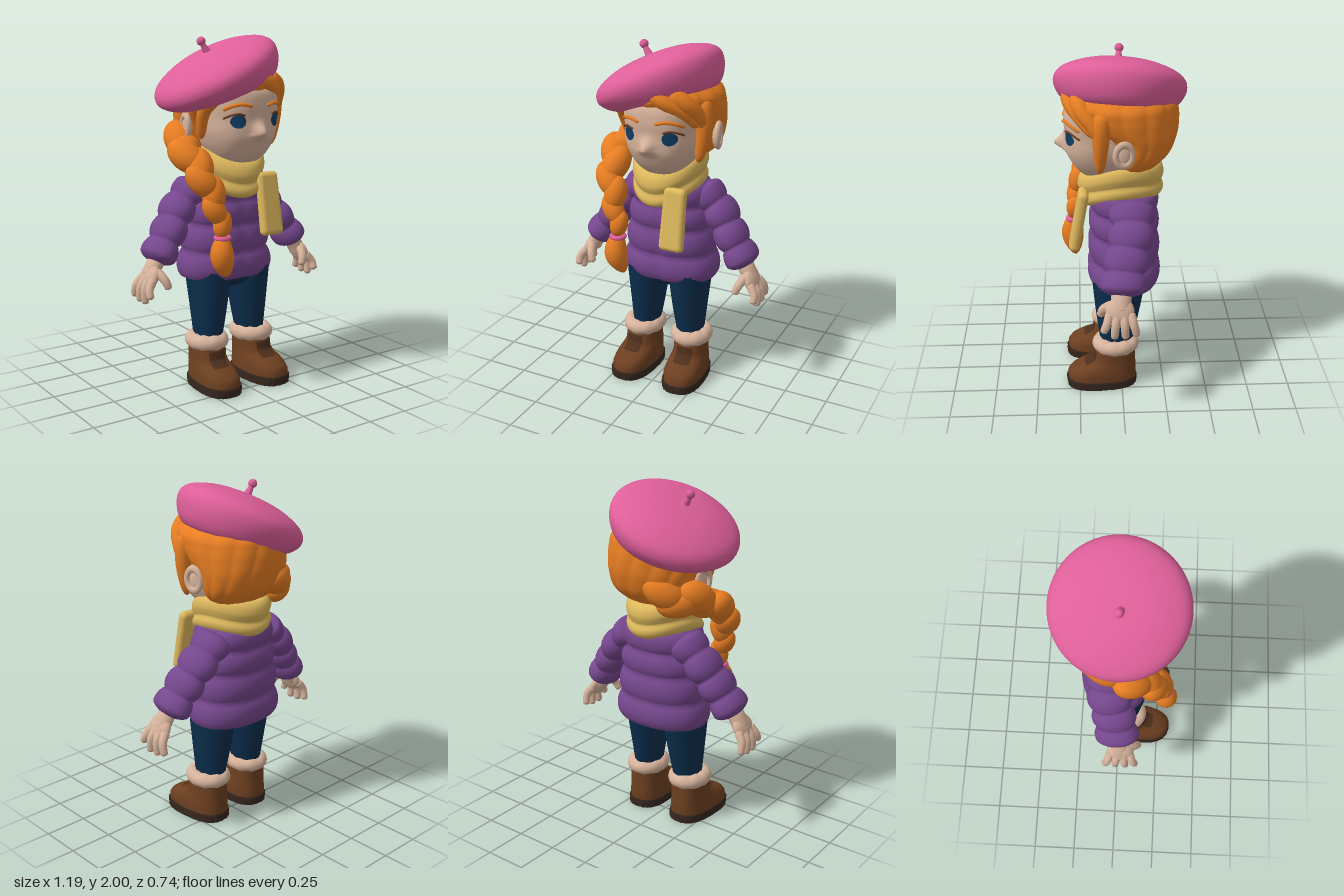
import * as THREE from 'three';
import { mergeVertices } from 'three/addons/utils/BufferGeometryUtils.js';
import { RoundedBoxGeometry } from 'three/addons/geometries/RoundedBoxGeometry.js';

const mat = (name, color) => Object.assign(new THREE.MeshStandardMaterial({ color }), { name });
const V = (p) => new THREE.Vector3(...p);

// Smooth normals without a seam
function smooth(geo) {
  geo.deleteAttribute('uv');
  geo.deleteAttribute('normal');
  const g = mergeVertices(geo, 1e-5);
  g.computeVertexNormals();
  return g;
}

// Move every vertex by a rule on its position
function bend(geo, rule) {
  const p = geo.attributes.position, v = new THREE.Vector3();
  for (let i = 0; i < p.count; i++) {
    rule(v.fromBufferAttribute(p, i));
    p.setXYZ(i, v.x, v.y, v.z);
  }
  geo.computeVertexNormals();
  return geo;
}

// Sections are [y, zBack, zFront, halfWidth], bottom to top; dense() adds curved in-betweens
function dense(raw, count) {
  const c = [1, 2, 3].map((k) => new THREE.SplineCurve(raw.map((s) => new THREE.Vector2(s[0], s[k]))).getPoints(count));
  return c[0].map((p, i) => [p.x, p.y, c[1][i].y, c[2][i].y]);
}

// Closed body from horizontal sections
function loft(sections, n = 2.3, bump = () => 1, segs = 72) {
  const pos = [], index = [];
  const first = sections[0], last = sections[sections.length - 1];
  const tip = (s) => [s[0], (s[1] + s[2]) / 2, (s[1] + s[2]) / 2, 0];
  const rings = [tip(first), first, ...sections, last, tip(last)];
  const pw = (v) => Math.sign(v) * Math.abs(v) ** (2 / n);
  rings.forEach(([y, z0, z1, hw], i) => {
    for (let j = 0; j < segs; j++) {
      const a = (j / segs) * Math.PI * 2, b = bump(a, y);
      pos.push(hw * pw(Math.cos(a)) * b, y, (z0 + z1) / 2 + ((z1 - z0) / 2) * pw(Math.sin(a)) * b);
      if (i === rings.length - 1) continue;
      const p = i * segs + j, q = i * segs + ((j + 1) % segs);
      index.push(p, p + segs, q, p + segs, q + segs, q);
    }
  });
  const g = new THREE.BufferGeometry();
  g.setAttribute('position', new THREE.Float32BufferAttribute(pos, 3));
  g.setIndex(index);
  g.computeVertexNormals();
  return g;
}

// Front depth of a loft at x, y
function frontZ(sections, n, x, y) {
  const i = sections.findIndex((s) => s[0] > y), a = sections[i - 1], b = sections[i];
  const [, z0, z1, hw] = a.map((v, k) => v + ((b[k] - v) * (y - a[0])) / (b[0] - a[0]));
  return (z0 + z1) / 2 + ((z1 - z0) / 2) * (1 - Math.min(1, Math.abs(x / hw)) ** n) ** (1 / n);
}

// Round-ended tube with varying radius r(t); sz stretches it in z
function limb(pts, r, { sz = 1, cap = 0.15, steps = 24, sides = 14 } = {}) {
  const curve = new THREE.CatmullRomCurve3(pts.map(V));
  const g = new THREE.TubeGeometry(curve, steps, 1, sides);
  const p = g.attributes.position, v = new THREE.Vector3();
  for (let i = 0; i < p.count; i++) {
    const t = Math.floor(i / (sides + 1)) / steps, c = curve.getPointAt(t);
    const e = Math.max(0, (Math.abs(2 * t - 1) - 1 + cap) / cap);
    const k = r(t) * Math.sqrt(Math.max(0.0004, 1 - e * e));
    v.fromBufferAttribute(p, i).sub(c).multiplyScalar(k);
    p.setXYZ(i, c.x + v.x, c.y + v.y, c.z + v.z * sz);
  }
  return smooth(g);
}

const HEAD = dense([
  [1.27, -0.08, 0.12, 0.06], [1.31, -0.1, 0.205, 0.11], [1.35, -0.12, 0.25, 0.15], [1.4, -0.15, 0.283, 0.18],
  [1.45, -0.18, 0.304, 0.2], [1.5, -0.2, 0.31, 0.212], [1.56, -0.22, 0.31, 0.216], [1.64, -0.22, 0.315, 0.22],
  [1.72, -0.2, 0.295, 0.21], [1.8, -0.12, 0.2, 0.15]], 60);
const BOOT = [
  [0.04, -0.083, 0.32, 0.113], [0.08, -0.085, 0.32, 0.113], [0.105, -0.085, 0.3, 0.109], [0.13, -0.083, 0.255, 0.104],
  [0.15, -0.082, 0.195, 0.099], [0.175, -0.08, 0.165, 0.096], [0.26, -0.08, 0.15, 0.095]];
const faceZ = (x, y) => frontZ(HEAD, 2.5, x, y);

export function createModel() {
  const skin = mat('skin and fleece', 0xd6b29b), hair = mat('orange hair', 0xe67d22);
  const pink = mat('pink felt', 0xde5f99), coat = mat('purple quilt', 0x75478d);
  const denim = mat('navy denim', 0x0b2d4b), wool = mat('yellow wool', 0xdcb75c);
  const leather = mat('brown leather', 0x6c3f20), rubber = mat('dark sole', 0x35261d);
  const iris = mat('blue eye', 0x0f3d64), tongue = mat('dark leather', 0x4d2f1c);

  const model = new THREE.Group();
  model.name = 'girl';
  const add = (name, geo, m, pos = [0, 0, 0], parent = model) => {
    const mesh = new THREE.Mesh(geo, m);
    mesh.name = name;
    mesh.position.set(...pos);
    parent.add(mesh);
    return mesh;
  };
  const group = (name, x = 0) => {
    const g = new THREE.Group();
    g.name = name;
    g.position.x = x;
    model.add(g);
    return g;
  };
  const ball = (name, m, pos, scale, parent) => {
    const b = add(name, new THREE.SphereGeometry(1, 24, 16), m, pos, parent);
    b.scale.set(...scale);
    return b;
  };

  // Quilted jacket: four padded rolls with a front closure groove
  const seams = [0.64, 0.79, 0.95, 1.09, 1.22], body = [];
  for (let i = 0; i < 4; i++) for (let k = 0; k < 8; k++) {
    const y = seams[i] + ((seams[i + 1] - seams[i]) * k) / 8, f = (y - 0.64) / 0.58;
    const b = 0.024 * Math.sin((Math.PI * k) / 8) ** 0.7;
    body.push([y, -0.21 + 0.02 * f - b, 0.174 - 0.02 * f + b, 0.272 - 0.07 * f + b]);
  }
  body.push([1.22, -0.17, 0.13, 0.185], [1.25, -0.13, 0.1, 0.13]);
  add('jacket', loft(body, 2.3, (a) => 1 - 0.05 * Math.exp(-(((a - Math.PI / 2) / 0.08) ** 2))), coat);
  ball('hips', denim, [0, 0.66, 0.01], [0.22, 0.1, 0.15]);

  for (const s of [1, -1]) {
    const side = s > 0 ? 'left' : 'right';
    const at = (pts) => pts.map(([x, y, z]) => [s * x, y, z]);

    // Padded sleeve, swinging forward towards the wrist
    add(side + 'Sleeve', limb(at([[0.16, 1.18, -0.055], [0.285, 1.055, -0.05], [0.385, 0.91, -0.015], [0.485, 0.76, 0.01]]),
      (t) => 0.074 + 0.02 * Math.abs(Math.sin(Math.PI * 4 * t)) ** 0.7, { sz: 1.38, cap: 0.18, steps: 60, sides: 24 }), coat);

    // Hand with four fingers and a thumb
    const hand = group(side + 'Hand');
    add('wrist', limb(at([[0.455, 0.8, 0.01], [0.49, 0.75, 0.015], [0.52, 0.69, 0.02]]), () => 0.045, { sz: 1.25 }), skin, undefined, hand);
    ball('palm', skin, [s * 0.525, 0.695, 0.024], [0.036, 0.078, 0.08], hand).rotation.z = s * 0.4;
    for (let f = 0; f < 4; f++) {
      const z = 0.078 - f * 0.037, tip = 0.118 - f * 0.062, y = [0.588, 0.548, 0.548, 0.565][f];
      add('finger', limb(at([[0.53, 0.69, z], [0.568, 0.635, (z + tip) / 2], [0.57, y, tip]]),
        (t) => 0.026 - 0.005 * t, { cap: 0.25, sides: 10 }), skin, undefined, hand);
    }
    add('thumb', limb(at([[0.505, 0.73, 0.06], [0.48, 0.685, 0.115], [0.46, 0.632, 0.13]]),
      (t) => 0.028 - 0.007 * t, { cap: 0.25, sides: 10 }), skin, undefined, hand);

    // Trouser leg
    add(side + 'Leg', limb(at([[0.135, 0.72, 0.012], [0.137, 0.5, 0.022], [0.147, 0.24, 0.03]]),
      (t) => 0.128 - 0.047 * Math.min(1, t * 1.15) ** 1.2, { sz: 1.24, cap: 0.08, sides: 24 }), denim);

    // Boot: upper, tongue panel, sole and fleece cuff
    const boot = group(side + 'Boot', s * 0.154);
    boot.rotation.y = s * 0.07;
    add('bootUpper', loft(BOOT, 2.5), leather, undefined, boot);
    add('bootTongue', bend(new THREE.PlaneGeometry(0.1, 0.08, 10, 12).translate(0, 0.182, 0),
      (v) => { v.z = frontZ(BOOT, 2.5, v.x, v.y) + 0.004; }), tongue, undefined, boot);
    add('sole', loft([[0, -0.088, 0.325, 0.118], [0.042, -0.09, 0.33, 0.12], [0.05, -0.086, 0.325, 0.116]], 2.6,
      (a) => 1 + 0.008 * Math.sin(a * 24), 96), rubber, undefined, boot);
    add('fleeceCuff', smooth(bend(new THREE.TorusGeometry(0.082, 0.042, 14, 40).rotateX(Math.PI / 2).scale(1, 1.05, 1.12),
      (v) => { v.y *= 1 + 0.07 * Math.sin(Math.atan2(v.z, v.x) * 9); })), skin, [0, 0.265, 0.035], boot);
  }

  // Wrapped scarf, raised over the shoulders and nape, with one hanging end
  const roll = [[0.13, 1.16], [0.19, 1.15], [0.222, 1.17], [0.228, 1.2], [0.216, 1.232], [0.222, 1.25],
    [0.23, 1.28], [0.222, 1.32], [0.2, 1.348], [0.17, 1.355], [0.14, 1.33]].map((p) => new THREE.Vector2(...p));
  add('scarfWrap', smooth(bend(new THREE.LatheGeometry(new THREE.SplineCurve(roll).getPoints(40), 56), (v) => {
    v.y += 0.04 * (v.x / 0.22) ** 2 - v.z * 0.16 + 0.01 * Math.sin(Math.atan2(v.z, v.x) * 2 + 1);
    v.x *= 0.91;
    v.z *= 1.06;
  })), wool);
  add('scarfEnd', bend(new RoundedBoxGeometry(0.148, 0.36, 0.06, 6, 0.028),
    (v) => { v.x *= 0.94 - 0.3 * v.y; }), wool, [0.133, 1.07, 0.24]).rotation.x = -0.18;

  // Head: face with a modelled nose, eyes, brows and ears
  const head = group('head', 0.012);
  add('face', bend(loft(HEAD, 2.5, () => 1, 144), (v) => {
    const dy = v.y - 1.487, wide = 0.034 + 0.012 * Math.max(0, -dy / 0.03);
    if (v.z > 0) v.z += 0.06 * Math.exp(-((v.x / wide) ** 2) - (dy / (dy > 0 ? 0.045 : 0.03)) ** 2);
  }), skin, undefined, head);
  for (const s of [1, -1]) {
    const side = s > 0 ? 'left' : 'right';
    add(side + 'Eye', bend(new THREE.RingGeometry(0.0005, 0.037, 28, 5).translate(s * 0.12, 1.55, 0),
      (v) => { v.z = faceZ(v.x, v.y) + 0.004; }), iris, undefined, head);
    const onFace = (pts) => pts.map(([x, y]) => [s * x, y, faceZ(x, y) + 0.003]);
    add(side + 'Brow', limb(onFace([[0.045, 1.63], [0.1, 1.643], [0.15, 1.634], [0.185, 1.61]]), () => 0.01, { sides: 8 }), hair, undefined, head);
    add(side + 'Lashes', limb(onFace([[0.085, 1.582], [0.12, 1.592], [0.16, 1.58], [0.182, 1.562]]), () => 0.006, { sides: 8 }), leather, undefined, head);
    ball(side + 'Ear', skin, [s * 0.265, 1.505, -0.005], [0.02, 0.065, 0.042], head);
    const rim = add(side + 'EarRim', new THREE.TorusGeometry(0.046, 0.017, 10, 28), skin, [s * 0.274, 1.51, -0.008], head);
    rim.rotation.y = Math.PI / 2 + s * 0.2;
    rim.scale.y = 1.3;
  }

  // Hair mass with combed ridges, parted around the face
  add('hair', loft(dense([
    [1.35, -0.13, 0, 0.13], [1.37, -0.18, 0.03, 0.17], [1.4, -0.225, 0.05, 0.215], [1.46, -0.278, 0.08, 0.25],
    [1.55, -0.31, 0.12, 0.268], [1.62, -0.318, 0.21, 0.278], [1.69, -0.314, 0.275, 0.28], [1.76, -0.29, 0.305, 0.258],
    [1.86, -0.17, 0.17, 0.11]], 40), 2.02, (a, y) => 0.99 + 0.025 * Math.abs(Math.sin(a * 7 + y * 9)), 128), hair, [0.012, 0, 0]);

  // Fringe and side locks, laid close to the head
  const locks = [
    [0.046, [-0.02, 1.8, 0.26], [0.08, 1.755, 0.28], [0.17, 1.69, 0.23], [0.235, 1.59, 0.15]],
    [0.05, [0.1, 1.79, 0.24], [0.19, 1.735, 0.215], [0.245, 1.65, 0.15], [0.255, 1.53, 0.1]],
    [0.052, [0.23, 1.74, 0.1], [0.25, 1.66, 0.11], [0.25, 1.54, 0.115], [0.225, 1.38, 0.12]],
    [0.048, [-0.1, 1.77, 0.25], [-0.18, 1.7, 0.21], [-0.225, 1.6, 0.125], [-0.21, 1.44, 0.07]],
  ];
  for (const [r, ...pts] of locks)
    add('hairLock', limb(pts, (t) => r * (1 - 0.6 * t * t), { cap: 0.3, steps: 30 }), hair);

  // Braid over the right shoulder: alternating lobes, tie and loose end
  const path = new THREE.CatmullRomCurve3([[-0.12, 1.45, -0.22], [-0.235, 1.425, -0.11], [-0.295, 1.375, 0.05],
    [-0.28, 1.26, 0.185], [-0.232, 1.1, 0.245], [-0.2, 0.94, 0.268]].map(V));
  const up = new THREE.Vector3(0, 1, 0), count = 10;
  for (let i = 0; i < count; i++) {
    const t = (i + 0.4) / count, k = i % 2 ? 1 : -1, r = 0.094 - 0.044 * t * t;
    const tan = path.getTangentAt(t), across = new THREE.Vector3(-tan.y, tan.x, 0).normalize().multiplyScalar(k);
    const p = path.getPointAt(t).addScaledVector(across, r * 0.22);
    const lobe = ball('braidLobe', hair, p.toArray(), [r * 0.95, r * 1.45, r * 0.95]);
    lobe.quaternion.setFromUnitVectors(up, tan.clone().addScaledVector(across, -0.4).normalize());
  }
  add('braidEnd', limb([[-0.2, 0.94, 0.268], [-0.212, 0.82, 0.28], [-0.17, 0.69, 0.262]],
    (t) => 0.026 + 0.04 * Math.sin(Math.PI * Math.min(1, t * 1.05)), { cap: 0.3 }), hair);
  add('braidTie', new THREE.TorusGeometry(0.036, 0.014, 10, 24).rotateX(Math.PI / 2), pink, [-0.202, 0.918, 0.27]);

  // Tilted beret, deeper on its raised side, with its stalk
  const beret = group('beret', -0.065);
  beret.position.y = 1.785;
  beret.rotation.set(-0.1, 0, 0.455);
  const felt = [[0.2, -0.09], [0.27, -0.115], [0.32, -0.09], [0.355, -0.045], [0.37, 0], [0.36, 0.045],
    [0.315, 0.085], [0.22, 0.122], [0.12, 0.14], [0, 0.146]].map((p) => new THREE.Vector2(...p));
  add('beretCap', smooth(bend(new THREE.LatheGeometry(new THREE.SplineCurve(felt).getPoints(36), 56),
    (v) => { if (v.y < 0) v.y *= 1 + v.x; })), pink, undefined, beret);
  add('beretStalk', limb([[0, 0.13, 0.02], [-0.005, 0.165, 0.02], [-0.008, 0.205, 0.02]], (t) => 0.026 - 0.014 * t), pink, undefined, beret);
  ball('beretKnob', pink, [-0.008, 0.21, 0.02], [0.025, 0.025, 0.025], beret);

  return model;
}
